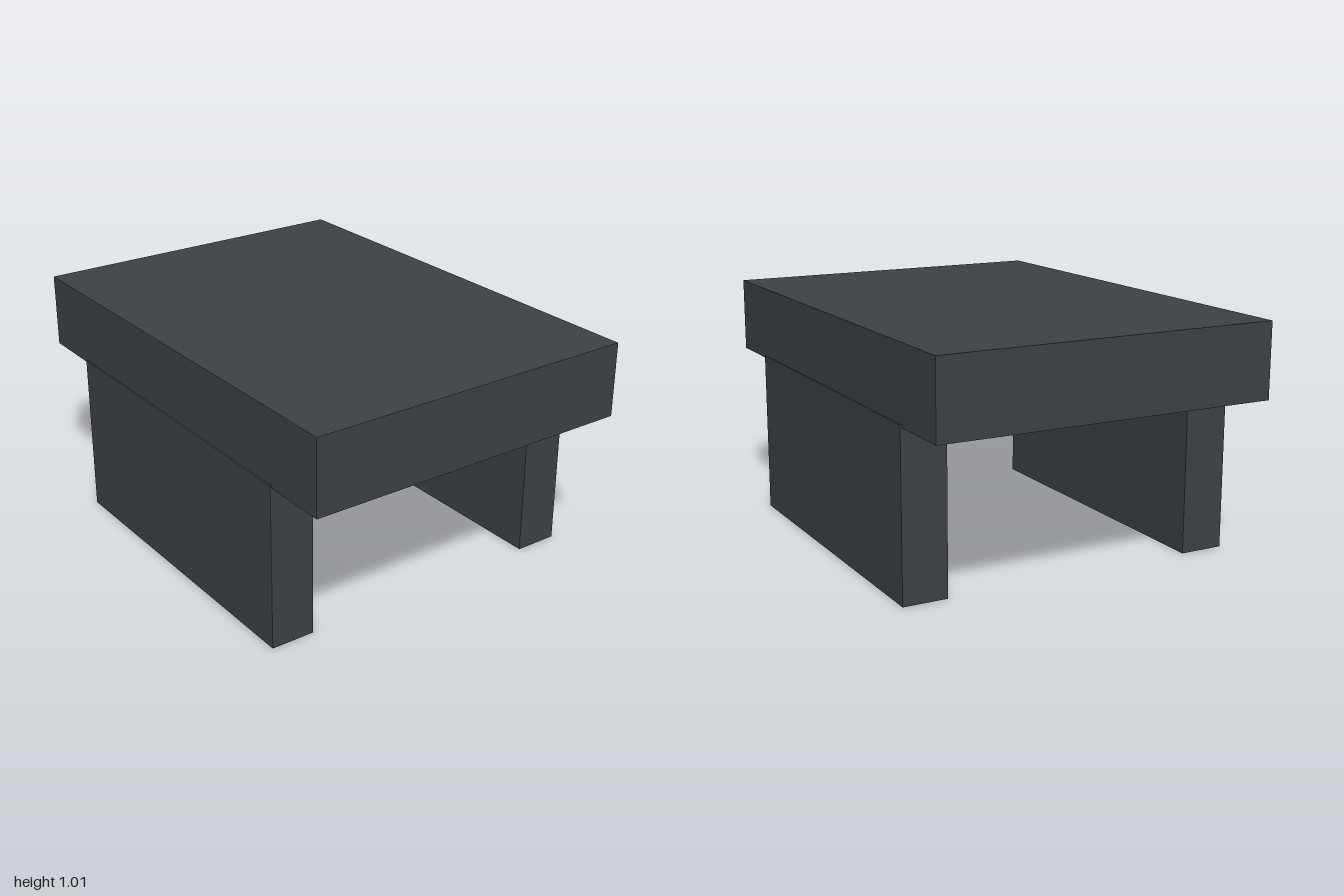
import * as THREE from 'three';

export function createModel() {
  const group = new THREE.Group();
  const charcoal = new THREE.MeshStandardMaterial({ color: 0x3c4146 });
  charcoal.name = 'charcoal';

  const addBox = (name, w, h, d, x, y) => {
    const mesh = new THREE.Mesh(new THREE.BoxGeometry(w, h, d), charcoal);
    mesh.name = name;
    mesh.position.set(x, y, 0);
    group.add(mesh);
  };

  // Thick slab top
  addBox('tableTop', 1.456, 0.317, 2, 0, 0.8495);

  // Two panel legs, slightly proud of the slab sides and sunk into it
  for (const [name, side] of [['leftLeg', 1], ['rightLeg', -1]]) {
    addBox(name, 0.19, 0.703, 1.44, side * 0.64, 0.3515);
  }

  return group;
}
